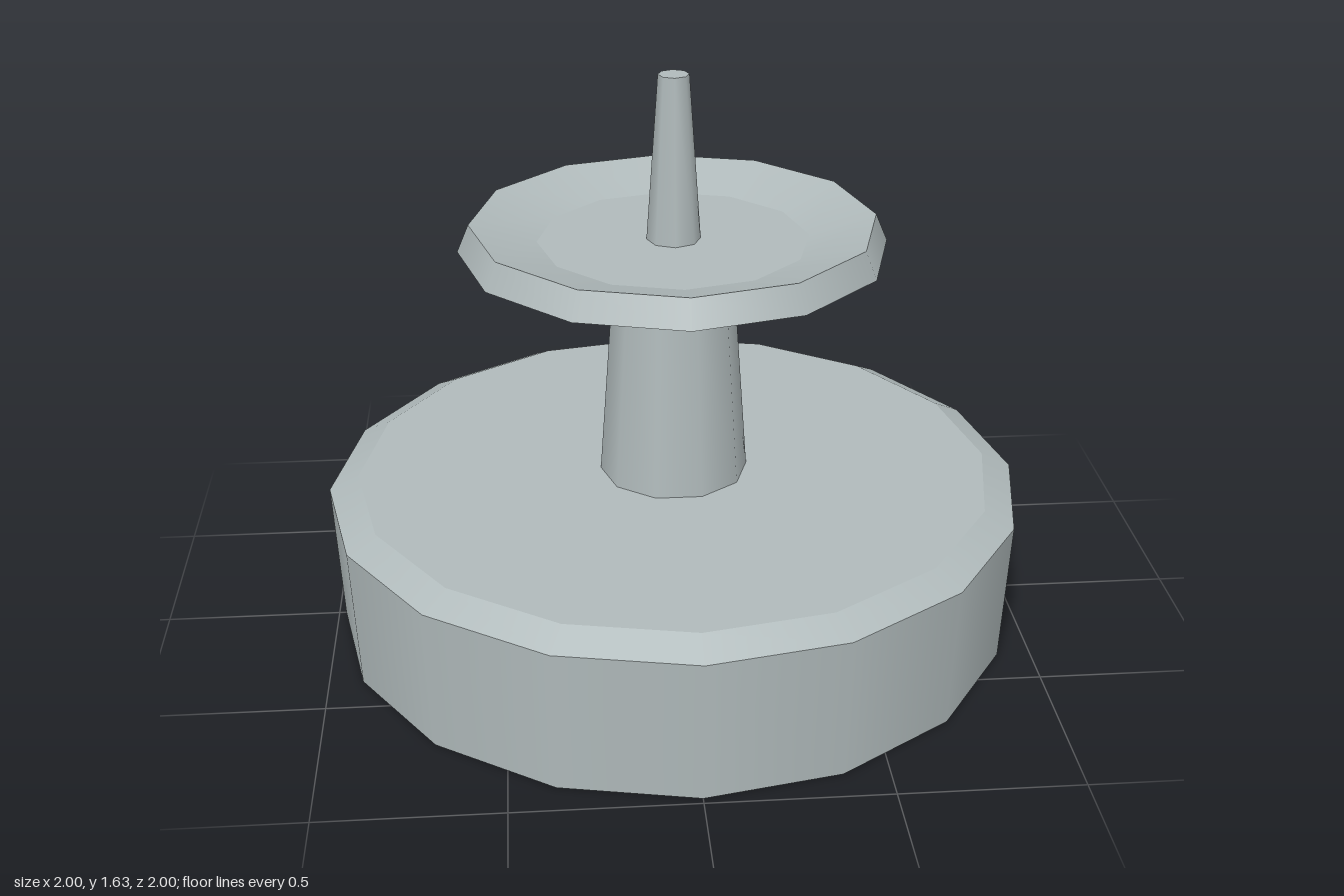
import * as THREE from 'three';
import { mergeGeometries } from 'three/addons/utils/BufferGeometryUtils.js';

const metal = new THREE.MeshStandardMaterial({ color: 0xb0babb });
metal.name = 'paleGreyMetal';

// Turned part: each band between two [radius, height] points is smooth around
// the axis, with a crisp edge to the next band.
function turned(name, sides, profile) {
  const bands = [];
  for (let i = 0; i < profile.length - 1; i++) {
    const pair = [profile[i], profile[i + 1]].map(([r, y]) => new THREE.Vector2(r, y));
    bands.push(new THREE.LatheGeometry(pair, sides, Math.PI / 2));
  }
  const mesh = new THREE.Mesh(mergeGeometries(bands), metal);
  mesh.name = name;
  return mesh;
}

export function createModel() {
  const model = new THREE.Group();
  model.name = 'spikedCandleHolder';
  model.add(
    // Heavy drum base with a bevelled top edge
    turned('base', 16, [[0, 0], [0.98, 0], [1, 0.415], [0.915, 0.457], [0, 0.457]]),
    // Tapered stem
    turned('stem', 10, [[0.213, 0.455], [0.175, 0.982]]),
    // Shallow drip dish with a hollow top
    turned('dripDish', 12, [[0, 0.98], [0.172, 0.98], [0.6, 1.142], [0.567, 1.22], [0.38, 1.165], [0, 1.165]]),
    // Candle spike
    turned('spike', 8, [[0.076, 1.16], [0.043, 1.635], [0, 1.635]])
  );
  return model;
}
